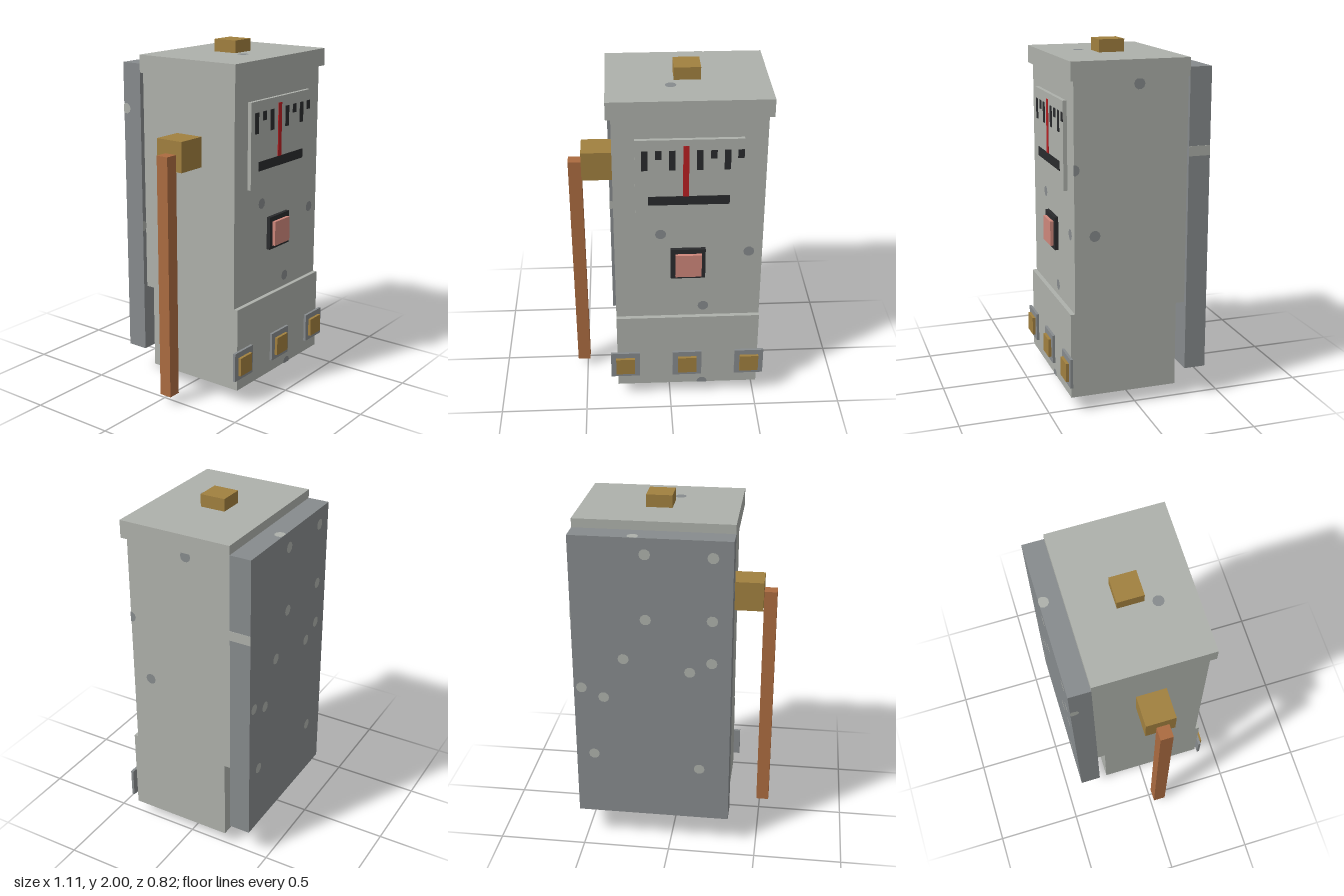
import * as THREE from 'three';

const mat = (name, color) => {
  const m = new THREE.MeshStandardMaterial({ color });
  m.name = name;
  return m;
};

export function createModel() {
  const casing = mat('pale grey casing', 0xaeb1ab);
  const steel = mat('dark grey steel', 0x878b8d);
  const brass = mat('brass', 0xa1803f);
  const copper = mat('copper', 0xab6b40);
  const black = mat('black', 0x2a2b2d);
  const red = mat('red', 0xb92023);
  const pink = mat('pink', 0xcf877b);

  const group = new THREE.Group();
  const add = (name, geometry, material) => {
    const mesh = new THREE.Mesh(geometry, material);
    mesh.name = name;
    group.add(mesh);
    return mesh;
  };

  // Box given by its limits on each axis; returns those limits
  const box = (name, material, [x0, x1], [y0, y1], [z0, z1]) => {
    const g = new THREE.BoxGeometry(x1 - x0, y1 - y0, z1 - z0);
    g.translate((x0 + x1) / 2, (y0 + y1) / 2, (z0 + z1) / 2);
    add(name, g, material);
    return new THREE.Box3(new THREE.Vector3(x0, y0, z0), new THREE.Vector3(x1, y1, z1));
  };

  // Flat round fleck on one face of a box, trimmed at the box edges
  const turns = {
    front: [0, 0], back: [0, Math.PI], right: [0, -Math.PI / 2], left: [0, Math.PI / 2],
    top: [-Math.PI / 2, 0], bottom: [Math.PI / 2, 0],
  };
  const fleck = (material, limits, face, x, y, z) => {
    const [rx, ry] = turns[face];
    const g = new THREE.CircleGeometry(0.031, 10).rotateX(rx).rotateY(ry).translate(x, y, z);
    const area = limits.clone().expandByScalar(0.002);
    const p = g.attributes.position;
    const v = new THREE.Vector3();
    for (let i = 0; i < p.count; i++) {
      v.fromBufferAttribute(p, i).clamp(area.min, area.max);
      p.setXYZ(i, v.x, v.y, v.z);
    }
    add('fleck', g, material);
  };

  // Casing
  const body = box('body', casing, [-0.31, 0.515], [0.565, 1.83], [-0.285, 0.35]);
  const base = box('baseSection', casing, [-0.31, 0.515], [0.08, 0.565], [-0.235, 0.375]);
  const lid = box('lid', casing, [-0.337, 0.54], [1.83, 1.93], [-0.285, 0.372]);
  const plate = box('backPlate', steel, [-0.337, 0.54], [0.175, 1.88], [-0.407, -0.285]);
  box('plateBand', casing, [0.538, 0.542], [1.4, 1.455], [-0.407, -0.285]);
  box('topKnob', brass, [0.03, 0.175], [1.93, 2.0], [-0.043, 0.103]);
  add('foot', new THREE.CylinderGeometry(0.098, 0.098, 0.08, 20).translate(0.1, 0.04, 0.033), black);

  // Lever on the side
  box('leverHub', brass, [-0.483, -0.31], [1.345, 1.515], [-0.043, 0.127]);
  box('leverRod', copper, [-0.557, -0.483], [0.05, 1.44], [0.017, 0.09]);

  // Meter with scale marks and needle
  box('meterPlate', casing, [-0.19, 0.39], [1.225, 1.71], [0.35, 0.372]);
  const ink = [0.372, 0.375];
  [-0.138, -0.065, 0.009, 0.156, 0.23, 0.303, 0.373].forEach((x, i) => {
    const short = [1, 4, 6].includes(i);
    box('scaleMark', black, [x - 0.017, x + 0.017], [short ? 1.598 : 1.532, 1.648], ink);
  });
  box('meterBar', black, [-0.12, 0.32], [1.32, 1.373], ink);
  box('needle', red, [0.067, 0.099], [1.373, 1.675], [0.372, 0.376]);

  // Push button
  box('buttonFrame', black, [0.003, 0.197], [0.837, 1.028], [0.35, 0.372]);
  box('button', pink, [0.028, 0.175], [0.858, 1.0], [0.372, 0.391]);

  // Row of terminals
  for (const x of [-0.264, 0.1, 0.466]) {
    box('terminalFrame', steel, [x - 0.085, x + 0.085], [0.152, 0.32], [0.375, 0.39]);
    box('terminal', brass, [x - 0.055, x + 0.055], [0.18, 0.287], [0.39, 0.407]);
  }

  // Dark flecks on the casing
  fleck(steel, body, 'front', -0.053, 1.12, 0.352);
  fleck(steel, body, 'front', 0.44, 0.995, 0.352);
  fleck(steel, body, 'front', 0.19, 0.63, 0.352);
  fleck(steel, base, 'front', 0.19, 0.085, 0.377);
  fleck(steel, base, 'back', 0.01, 0.095, -0.237);
  fleck(steel, base, 'bottom', -0.11, 0.078, 0.24);
  fleck(steel, lid, 'top', 0.01, 1.932, 0.17);

  // The side normals point outward along +x
  turns.right = [0, Math.PI / 2];
  turns.left = [0, -Math.PI / 2];
  fleck(steel, body, 'right', 0.517, 1.8, -0.01);
  fleck(steel, body, 'right', 0.517, 0.995, 0.237);
  fleck(steel, body, 'right', 0.517, 1.36, 0.35);

  // Pale flecks on the back plate
  const backFlecks = [
    [0.13, 1.79], [-0.23, 1.786], [0.13, 1.42], [-0.23, 1.43], [0.256, 1.18], [0.496, 0.99],
    [0.372, 0.937], [-0.11, 1.12], [-0.23, 1.18], [0.438, 0.567], [-0.167, 0.506],
  ];
  for (const [x, y] of backFlecks) fleck(casing, plate, 'back', x, y, -0.409);
  fleck(casing, plate, 'top', 0.195, 1.882, -0.385);
  fleck(casing, plate, 'front', -0.337, 0.94, -0.283);
  fleck(casing, plate, 'left', -0.339, 1.62, -0.39);

  return group;
}
